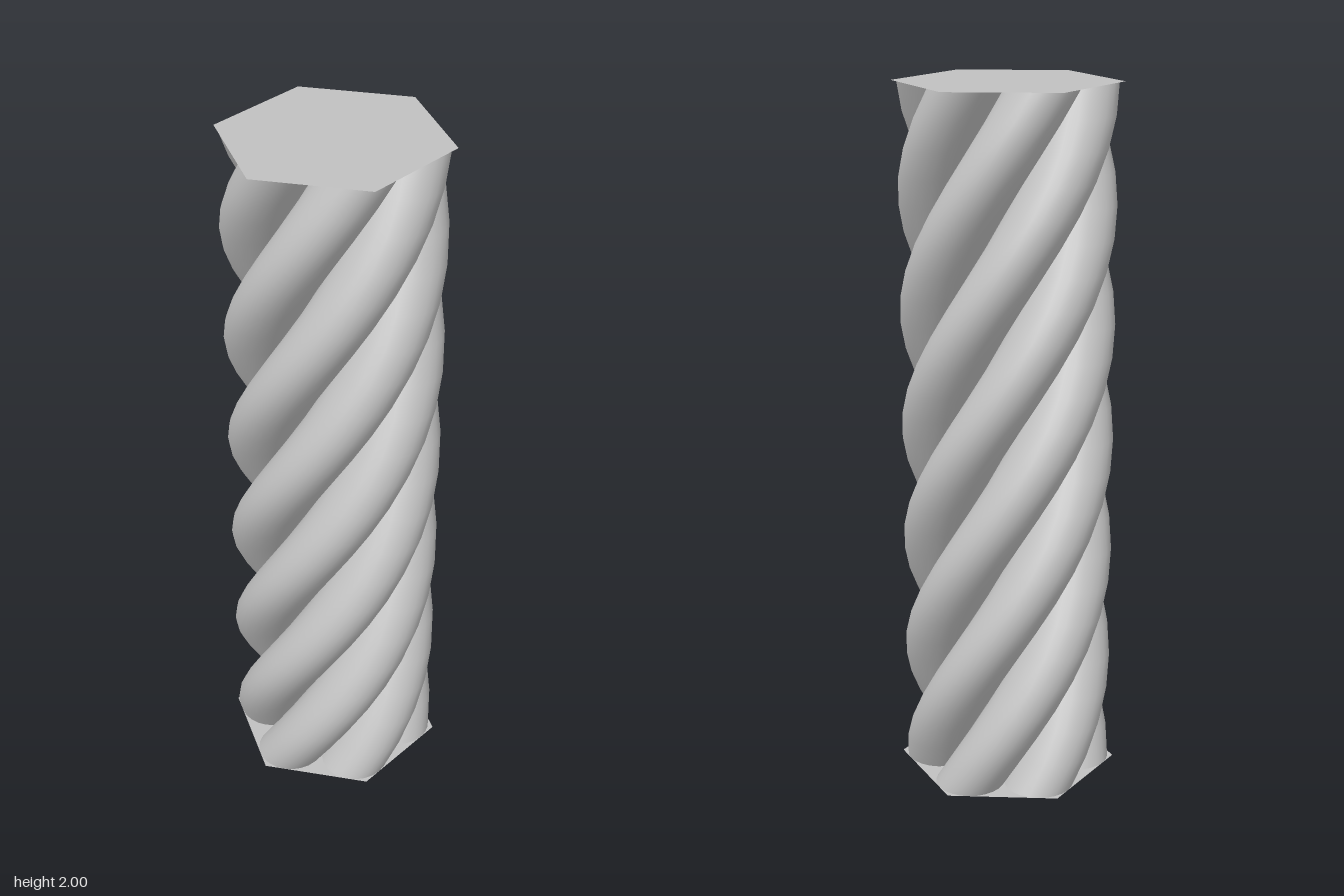
import * as THREE from 'three';

const HEIGHT = 2, STRANDS = 6, WIRE = 0.1, LAY = 0.2; // wire radius, distance from axis
const STEPS = 24, SIDES = 24;

// Round section swept up the axis while making one full turn
function strandGeometry(startAngle) {
  const positions = [], indices = [];
  for (let i = 0; i <= STEPS; i++) {
    const a = startAngle + (i / STEPS) * Math.PI * 2;
    for (let j = 0; j < SIDES; j++) {
      const t = (j / SIDES) * Math.PI * 2;
      const out = LAY + WIRE * Math.cos(t), side = WIRE * Math.sin(t);
      positions.push(
        out * Math.sin(a) + side * Math.cos(a),
        (i / STEPS) * HEIGHT,
        out * Math.cos(a) - side * Math.sin(a));
      if (i === STEPS) continue;
      const k = (j + 1) % SIDES, row = i * SIDES, next = row + SIDES;
      indices.push(row + j, row + k, next + j, row + k, next + k, next + j);
    }
  }
  const geometry = new THREE.BufferGeometry();
  geometry.setAttribute('position', new THREE.Float32BufferAttribute(positions, 3));
  geometry.setIndex(indices);
  geometry.computeVertexNormals();
  return geometry;
}

export function createModel() {
  const group = new THREE.Group();
  group.name = 'twistedCable';
  const steel = new THREE.MeshStandardMaterial({ color: 0xc0c0c0, side: THREE.DoubleSide });
  steel.name = 'steelGrey';

  const add = (name, geometry, y = 0) => {
    const mesh = new THREE.Mesh(geometry, steel);
    mesh.name = name;
    mesh.position.y = y;
    group.add(mesh);
  };

  // Six outer wires, the first starting on +x
  for (let s = 0; s < STRANDS; s++) {
    add(`strand${s + 1}`, strandGeometry(Math.PI / 2 + (s / STRANDS) * Math.PI * 2));
  }

  // Straight centre wire
  add('coreWire', new THREE.CylinderGeometry(WIRE, WIRE, HEIGHT, SIDES, 1, true), HEIGHT / 2);

  // Flat hexagonal ends whose sides touch the wires
  const capRadius = LAY + WIRE / Math.cos(Math.PI / 6);
  add('topCap', new THREE.CircleGeometry(capRadius, 6).rotateX(-Math.PI / 2), HEIGHT);
  add('bottomCap', new THREE.CircleGeometry(capRadius, 6).rotateX(Math.PI / 2), 0);

  return group;
}
